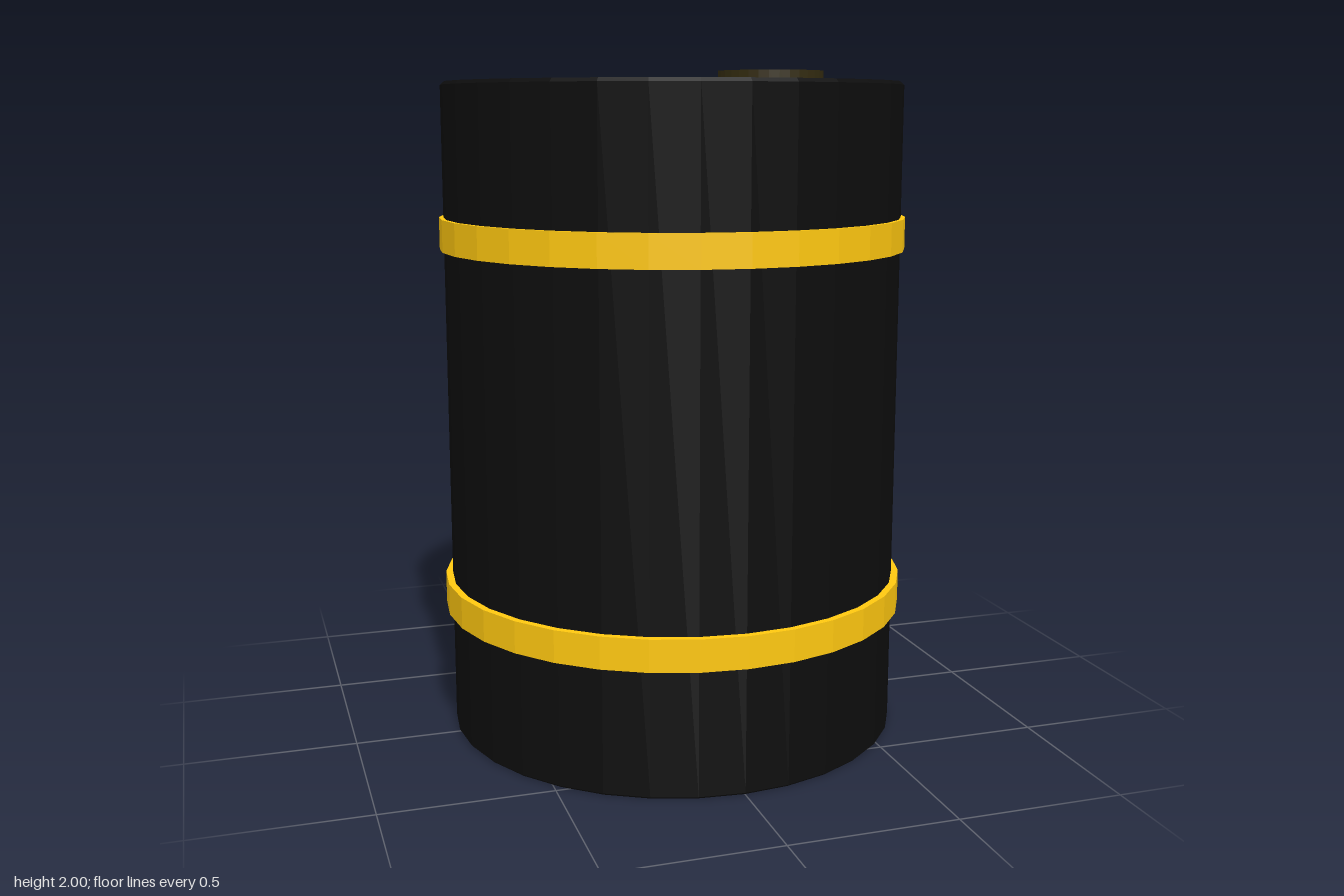
import * as THREE from 'three';

const SIDES = 32;

// Flat-shaded solid of revolution from [radius, height] pairs, bottom to top
function turned(name, points, color, sides = SIDES) {
  const profile = points.map(([r, y]) => new THREE.Vector2(r, y));
  const material = new THREE.MeshStandardMaterial({ color, flatShading: true });
  const mesh = new THREE.Mesh(new THREE.LatheGeometry(profile, sides), material);
  mesh.name = name;
  return mesh;
}

// Closed rectangular hoop around the drum
function hoop(name, radius, bottom, top) {
  const inner = 0.67;
  return turned(name, [
    [inner, bottom], [radius, bottom], [radius, top], [inner, top], [inner, bottom],
  ], 0xffc810);
}

export function createModel() {
  const group = new THREE.Group();
  group.name = 'drum';

  // Drum with slightly chamfered edges and a shallow recessed lid
  group.add(turned('drumBody', [
    [0, 0], [0.68, 0], [0.686, 0.006], [0.686, 1.955], [0.676, 1.965],
    [0.625, 1.965], [0.618, 1.942], [0, 1.942],
  ], 0x0d0d0d));

  // Two hoops, the lower one a little wider
  group.add(hoop('lowerHoop', 0.707, 0.378, 0.473));
  group.add(hoop('upperHoop', 0.699, 1.475, 1.57));

  // Off-centre filler cap with a dished top
  const cap = turned('fillerCap', [
    [0, 1.935], [0.16, 1.935], [0.16, 2], [0.122, 2], [0.118, 1.982], [0, 1.982],
  ], 0x332b10);
  cap.position.x = 0.313;
  group.add(cap);

  return group;
}
